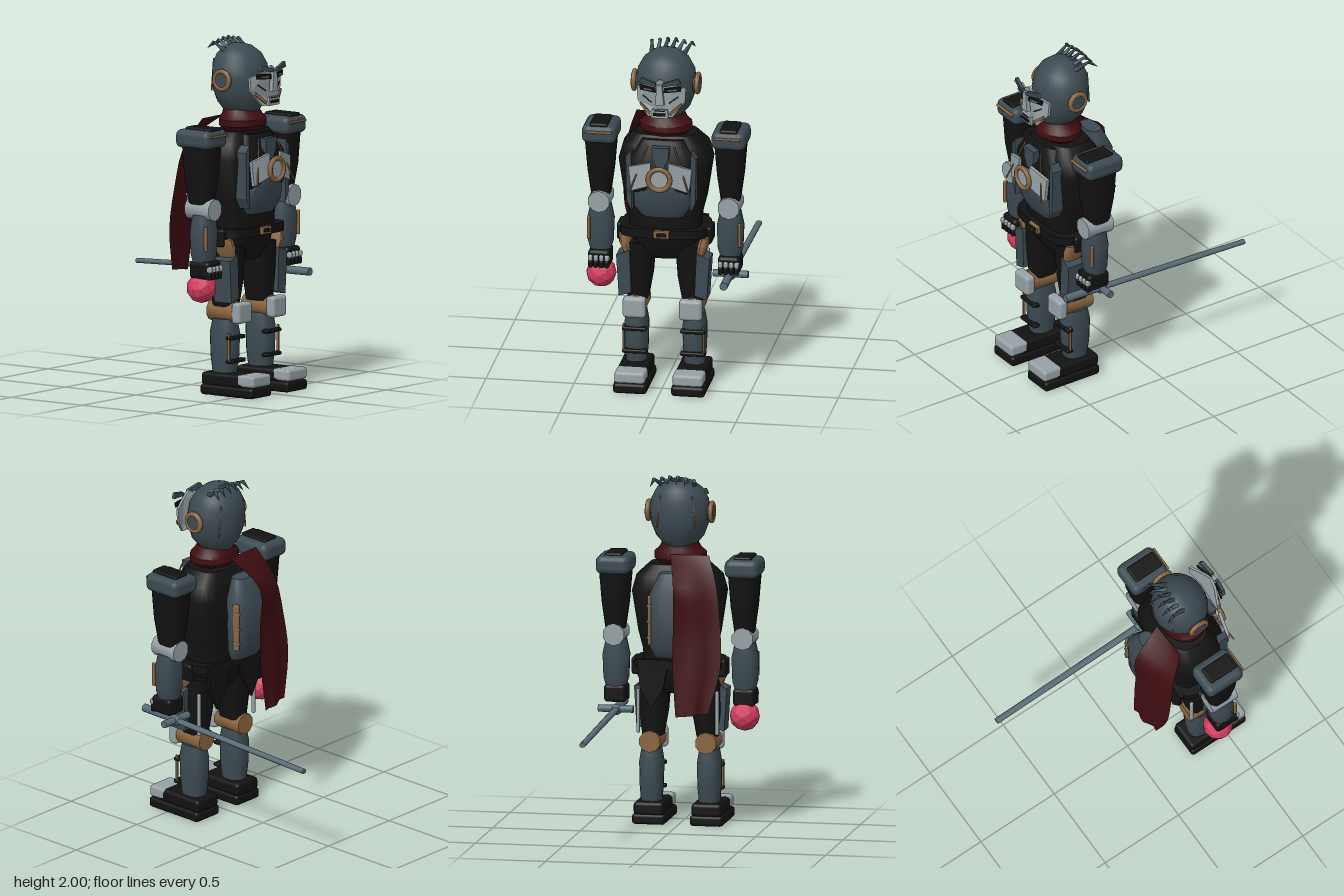
import * as THREE from 'three';
import { toCreasedNormals } from 'three/addons/utils/BufferGeometryUtils.js';
import { RoundedBoxGeometry } from 'three/addons/geometries/RoundedBoxGeometry.js';

const mat = (name, hex, side = THREE.FrontSide) => {
  const m = new THREE.MeshStandardMaterial({ color: hex, side });
  m.name = name;
  return m;
};

export function createModel() {
  const root = new THREE.Group();
  root.name = 'armouredFigure';
  const black = mat('black', 0x121213), slate = mat('slate', 0x3c4a52), silver = mat('silver', 0x97a2a6);
  const copper = mat('copper', 0x8a653f), maroon = mat('maroon', 0x3f0d11, THREE.DoubleSide);
  const pink = mat('pink', 0xd23c5e), steel = mat('steel', 0x586a75);
  pink.flatShading = true;

  const add = (name, geo, m, x = 0, y = 0, z = 0, rx = 0, ry = 0, rz = 0) => {
    const mesh = new THREE.Mesh(geo, m);
    mesh.name = name;
    mesh.position.set(x, y, z);
    mesh.rotation.set(rx, ry, rz);
    root.add(mesh);
    return mesh;
  };
  const box = (name, m, w, h, d, x, y, z, r = 0.015, rx = 0, rz = 0) =>
    add(name, new RoundedBoxGeometry(w, h, d, 2, Math.min(r, w / 2.1, h / 2.1, d / 2.1)), m, x, y, z, rx, 0, rz);

  // Closed body through stacked superellipse rings [y, half x, half z, centre x, centre z]
  const loft = (name, m, rings, n = 24, p = 2, crease = 0.7) => {
    const pos = [];
    const pt = ([y, hx, hz, cx, cz], i) => {
      const a = (i / n) * Math.PI * 2, c = Math.cos(a), s = Math.sin(a);
      return [cx + hx * Math.sign(c) * Math.abs(c) ** (2 / p), y, cz + hz * Math.sign(s) * Math.abs(s) ** (2 / p)];
    };
    const first = rings[0], last = rings[rings.length - 1];
    for (let i = 0; i < n; i++) {
      for (let k = 0; k < rings.length - 1; k++) {
        const a = pt(rings[k], i), b = pt(rings[k], i + 1), c = pt(rings[k + 1], i + 1), d = pt(rings[k + 1], i);
        pos.push(...a, ...d, ...c, ...a, ...c, ...b);
      }
      pos.push(first[3], first[0], first[4], ...pt(first, i), ...pt(first, i + 1));
      pos.push(last[3], last[0], last[4], ...pt(last, i + 1), ...pt(last, i));
    }
    const g = new THREE.BufferGeometry();
    g.setAttribute('position', new THREE.Float32BufferAttribute(pos, 3));
    return add(name, toCreasedNormals(g, crease), m);
  };

  // Flat plate facing forward; bend curls the sides backwards
  const plate = (name, m, pts, z, depth, bend = 0, s = 1) => {
    const shape = new THREE.Shape(pts.map(([x, y]) => new THREE.Vector2(x * s, y)));
    const g = new THREE.ExtrudeGeometry(shape, { depth, bevelEnabled: false });
    const p = g.attributes.position;
    for (let i = 0; i < p.count; i++) p.setZ(i, p.getZ(i) - bend * p.getX(i) ** 2);
    g.computeVertexNormals();
    return add(name, g, m, 0, 0, z);
  };

  const rod = (name, m, a, b, r, r2 = r, n = 8) => {
    const A = new THREE.Vector3(...a), d = new THREE.Vector3(...b).sub(A);
    const mesh = add(name, new THREE.CylinderGeometry(r2, r, d.length(), n), m);
    mesh.position.copy(A).addScaledVector(d, 0.5);
    mesh.quaternion.setFromUnitVectors(new THREE.Vector3(0, 1, 0), d.normalize());
    return mesh;
  };

  // Head, neck and hair
  loft('head', slate, [[1.585, 0.085, 0.1, 0, 0.36], [1.64, 0.135, 0.135, 0, 0.36], [1.71, 0.162, 0.152, 0, 0.355],
    [1.78, 0.17, 0.155, 0, 0.355], [1.85, 0.162, 0.149, 0, 0.35], [1.91, 0.13, 0.122, 0, 0.345],
    [1.95, 0.08, 0.075, 0, 0.34], [1.968, 0.02, 0.02, 0, 0.34]], 28, 2, 1);
  loft('neck', black, [[1.46, 0.09, 0.09, 0, 0.36], [1.6, 0.08, 0.09, 0, 0.36]]);
  for (let i = 0; i < 6; i++) {
    const x = -0.085 + i * 0.035, h = 0.02 * (1 - Math.abs(i - 2.5) / 2.5);
    rod('hairSpike', i === 1 || i === 4 ? steel : slate, [x, 1.92 + h, 0.33], [x * 1.3 + 0.01, 1.975 + h, 0.24], 0.018, 0.006, 5);
    rod('hairTip', slate, [x * 1.3 + 0.01, 1.972 + h, 0.245], [x * 1.4 + 0.015, 1.935 + h, 0.2], 0.012, 0.001, 5);
  }

  // Face mask held in front of the head
  plate('faceMask', silver, [[-0.14, 1.8], [-0.135, 1.72], [-0.07, 1.635], [0.07, 1.635], [0.135, 1.72], [0.14, 1.8],
    [0.05, 1.825], [0, 1.86], [-0.05, 1.825]], 0.56, 0.015, 2.4);
  plate('nose', silver, [[-0.014, 1.83], [-0.026, 1.715], [0.026, 1.715], [0.014, 1.83]], 0.575, 0.025);
  plate('mouth', black, [[-0.035, 1.665], [-0.035, 1.65], [0.035, 1.65], [0.035, 1.665]], 0.592, 0.008);
  plate('lips', silver, [[-0.045, 1.685], [-0.05, 1.635], [0.05, 1.635], [0.045, 1.685]], 0.575, 0.017);
  plate('upperLipLine', black, [[-0.03, 1.681], [-0.03, 1.677], [0.03, 1.677], [0.03, 1.681]], 0.592, 0.006);

  // Torso, chest armour and belt
  loft('torso', black, [[0.9, 0.2, 0.13, 0, 0.36], [1.0, 0.205, 0.13, 0, 0.36], [1.1, 0.23, 0.14, 0, 0.355],
    [1.33, 0.265, 0.16, 0, 0.35], [1.42, 0.24, 0.15, 0, 0.35], [1.485, 0.17, 0.11, 0, 0.35]], 24, 3.5);
  loft('chest', black, [[1.06, 0.1, 0.06, 0, 0.46], [1.2, 0.19, 0.1, 0, 0.465], [1.36, 0.2, 0.09, 0, 0.465],
    [1.47, 0.12, 0.05, 0, 0.45]], 16, 3);
  loft('bellyPlate', slate, [[1.02, 0.12, 0.05, 0, 0.47], [1.08, 0.165, 0.085, 0, 0.465], [1.16, 0.165, 0.1, 0, 0.468],
    [1.24, 0.1, 0.1, 0, 0.472]], 16, 3);
  plate('collarPlate', slate, [[-0.05, 1.45], [-0.045, 1.38], [-0.02, 1.33], [0.02, 1.33], [0.045, 1.38], [0.05, 1.45]], 0.53, 0.04);
  add('chestRing', new THREE.TorusGeometry(0.062, 0.014, 8, 28), copper, 0, 1.275, 0.61);
  add('chestCore', new THREE.CylinderGeometry(0.055, 0.055, 0.03, 24), silver, 0, 1.275, 0.595, Math.PI / 2);
  loft('pelvis', black, [[0.75, 0.1, 0.08, 0, 0.36], [0.82, 0.17, 0.12, 0, 0.36], [0.92, 0.2, 0.13, 0, 0.36]], 16, 3);
  loft('belt', black, [[0.895, 0.25, 0.16, 0, 0.365], [0.945, 0.25, 0.16, 0, 0.365]], 24, 4);
  box('buckle', copper, 0.09, 0.045, 0.02, 0, 0.922, 0.53, 0.005);
  box('buckleInset', black, 0.055, 0.022, 0.008, 0, 0.922, 0.541, 0.002);

  // Back pack
  loft('backPack', slate, [[0.98, 0.1, 0.04, 0, 0.14], [1.04, 0.125, 0.07, 0, 0.125], [1.34, 0.13, 0.075, 0, 0.125],
    [1.46, 0.075, 0.045, 0, 0.15]], 20, 2.6);

  // Scarf ring and hanging tail
  loft('scarf', maroon, [[1.485, 0.12, 0.1, 0, 0.37], [1.51, 0.15, 0.125, 0, 0.37], [1.545, 0.15, 0.125, 0, 0.37],
    [1.57, 0.12, 0.11, 0, 0.365], [1.6, 0.105, 0.1, 0, 0.36]], 18);
  const tail = new THREE.PlaneGeometry(1, 1, 6, 12), tp = tail.attributes.position;
  const curve = (c, t) => c.getPoint(t);
  const outer = new THREE.CatmullRomCurve3([[-0.19, 1.55, 0.23], [-0.25, 1.38, 0.14], [-0.28, 1.15, 0.1], [-0.285, 0.93, 0.07],
    [-0.22, 0.68, 0.04]].map(v => new THREE.Vector3(...v)));
  const inner = new THREE.CatmullRomCurve3([[0.03, 1.55, 0.22], [-0.02, 1.4, 0.04], [-0.02, 1.15, 0.04], [-0.02, 0.92, 0.03],
    [-0.04, 0.66, 0.01]].map(v => new THREE.Vector3(...v)));
  for (let i = 0; i < tp.count; i++) {
    const u = tp.getX(i) + 0.5, t = 0.5 - tp.getY(i);
    const v = curve(outer, t).lerp(curve(inner, t), u);
    tp.setXYZ(i, v.x, v.y, v.z + 0.012 * Math.sin(u * 9) * t);
  }
  tail.computeVertexNormals();
  add('scarfTail', tail, maroon);

  for (const s of [1, -1]) {
    // Ears and mask features
    add('earRing', new THREE.TorusGeometry(0.05, 0.014, 8, 24), copper, s * 0.18, 1.775, 0.36, 0, Math.PI / 2);
    add('earDisc', new THREE.CylinderGeometry(0.05, 0.05, 0.05, 24), slate, s * 0.165, 1.775, 0.36, 0, 0, Math.PI / 2);
    rod('headSeam', copper, [s * 0.09, 1.88, 0.235], [s * 0.11, 1.7, 0.235], 0.005);
    plate('eyeSocket', black, [[0.022, 1.785], [0.115, 1.79], [0.12, 1.82], [0.025, 1.812]], 0.582, 0.009, 2, s);
    plate('eye', silver, [[0.045, 1.796], [0.095, 1.797], [0.095, 1.806], [0.045, 1.804]], 0.592, 0.005, 2, s);
    plate('brow', slate, [[0.02, 1.825], [0.12, 1.84], [0.105, 1.87], [0.02, 1.845]], 0.585, 0.02, 1.5, s);
    plate('cheekLine', copper, [[0.12, 1.7], [0.115, 1.715], [0.055, 1.665], [0.06, 1.648]], 0.577, 0.009, 2.4, s);
    rod('cheekSeam', black, [s * 0.05, 1.72, 0.57], [s * 0.1, 1.755, 0.553], 0.003);

    // Chest trim
    plate('chestWing', silver, [[0.05, 1.37], [0.18, 1.33], [0.165, 1.19], [0.05, 1.235]], 0.585, 0.018, 1, s);
    plate('sideChestPlate', slate, [[0.17, 1.42], [0.2, 1.38], [0.195, 1.12], [0.165, 1.06]], 0.47, 0.075, 0, s);
    rod('chestStrap', copper, [s * 0.075, 1.45, 0.54], [s * 0.17, 1.19, 0.605], 0.005);
    box('packStrip', copper, 0.02, 0.28, 0.04, s * 0.123, 1.195, 0.09, 0.01);
    for (let i = 0; i < 3; i++) box('packClip', silver, 0.022, 0.012, 0.048, s * 0.124, 1.1 + i * 0.09, 0.09, 0.004);

    // Shoulder
    box('shoulderPad', slate, 0.195, 0.105, 0.24, s * 0.368, 1.47, 0.357, 0.035);
    box('shoulderTop', black, 0.1, 0.022, 0.18, s * 0.368, 1.524, 0.37, 0.01);
    box('shoulderTrim', copper, 0.15, 0.014, 0.014, s * 0.365, 1.49, 0.48, 0.005);

    // Arm
    loft('upperArm', black, [[1.1, 0.055, 0.07, s * 0.368, 0.36], [1.25, 0.075, 0.095, s * 0.368, 0.36],
      [1.43, 0.09, 0.105, s * 0.368, 0.36]], 16, 3);
    add('elbow', toCreasedNormals(new THREE.CylinderGeometry(0.063, 0.063, 0.17, 10), 0.7), silver, s * 0.368, 1.07, 0.37, Math.PI / 2);
    loft('forearm', slate, [[0.76, 0.055, 0.055, s * 0.368, 0.375], [0.82, 0.072, 0.066, s * 0.368, 0.375],
      [0.95, 0.077, 0.07, s * 0.368, 0.375], [1.04, 0.058, 0.06, s * 0.368, 0.375]], 18, 2.6);
    box('forearmTrim', copper, 0.018, 0.14, 0.02, s * 0.428, 0.91, 0.435, 0.007);
    box('hand', black, 0.125, 0.1, 0.14, s * 0.368, 0.73, 0.385, 0.02);
    for (let i = 0; i < 4; i++) {
      box('knuckle', silver, 0.026, 0.035, 0.075, s * (0.322 + i * 0.031), 0.737, 0.432, 0.01);
      box('finger', black, 0.026, 0.045, 0.03, s * (0.322 + i * 0.031), 0.7, 0.45, 0.01);
    }

    // Hip, coat tail and thigh
    box('hipPouch', black, 0.06, 0.1, 0.13, s * 0.24, 0.895, 0.37, 0.015);
    loft('hipGuard', copper, [[0.78, 0.022, 0.05, s * 0.205, 0.42], [0.84, 0.032, 0.07, s * 0.222, 0.41],
      [0.89, 0.025, 0.06, s * 0.232, 0.41]], 14, 3);
    plate('coatTail', black, [[0.04, 0.95], [0.22, 0.95], [0.2, 0.78], [0.14, 0.67], [0.07, 0.78]], 0.21, 0.02, 0, s);
    loft('thigh', black, [[0.5, 0.06, 0.075, s * 0.155, 0.37], [0.64, 0.08, 0.09, s * 0.15, 0.37],
      [0.84, 0.085, 0.1, s * 0.14, 0.37]], 16, 2.8);
    plate('thighPlate', slate, [[0.19, 0.8], [0.265, 0.77], [0.25, 0.53], [0.18, 0.55]], 0.36, 0.12, 0, s);
    box('thighRod', silver, 0.02, 0.25, 0.022, s * 0.225, 0.645, 0.28, 0.008);

    // Knee and shin
    add('kneeJoint', toCreasedNormals(new THREE.CylinderGeometry(0.062, 0.062, 0.18, 10), 0.7), copper, s * 0.16, 0.47, 0.37, Math.PI / 2);
    box('kneePad', silver, 0.13, 0.12, 0.06, s * 0.16, 0.47, 0.485, 0.02);
    loft('shin', slate, [[0.12, 0.058, 0.068, s * 0.165, 0.37], [0.22, 0.066, 0.08, s * 0.165, 0.37],
      [0.35, 0.068, 0.085, s * 0.165, 0.37], [0.43, 0.055, 0.07, s * 0.165, 0.37]], 18, 2.6);
    for (const y of [0.195, 0.328]) box('shinBand', black, 0.14, 0.022, 0.04, s * 0.165, y, 0.447, 0.008);
    box('shinTrim', copper, 0.012, 0.16, 0.016, s * 0.227, 0.275, 0.445, 0.004);

    // Boot
    box('sole', black, 0.19, 0.06, 0.37, s * 0.165, 0.03, 0.447, 0.018);
    box('bootUpper', black, 0.172, 0.075, 0.3, s * 0.165, 0.09, 0.413, 0.02);
    box('toeCap', silver, 0.174, 0.068, 0.12, s * 0.165, 0.095, 0.575, 0.018);
    for (let i = 0; i < 5; i++) box('tread', black, 0.17, 0.012, 0.035, s * 0.165, 0.006, 0.3 + i * 0.07, 0.003);
  }

  // Ball hanging from the right hand
  add('ball', new THREE.IcosahedronGeometry(0.086, 1), pink, -0.368, 0.623, 0.36);

  // Sword in the left hand, pointing back
  rod('swordGrip', steel, [0.36, 0.648, 0.57], [0.36, 0.645, 0.33], 0.023, 0.023, 12);
  rod('swordGuard', steel, [0.262, 0.643, 0.33], [0.462, 0.643, 0.33], 0.021, 0.021, 12);
  const blade = rod('swordBlade', steel, [0.36, 0.64, 0.33], [0.36, 0.604, -0.645], 0.02, 0.018, 12);
  blade.scale.z = 0.8;
  add('guardBoss', new THREE.SphereGeometry(0.032, 14, 10), steel, 0.36, 0.638, 0.33);

  return root;
}
